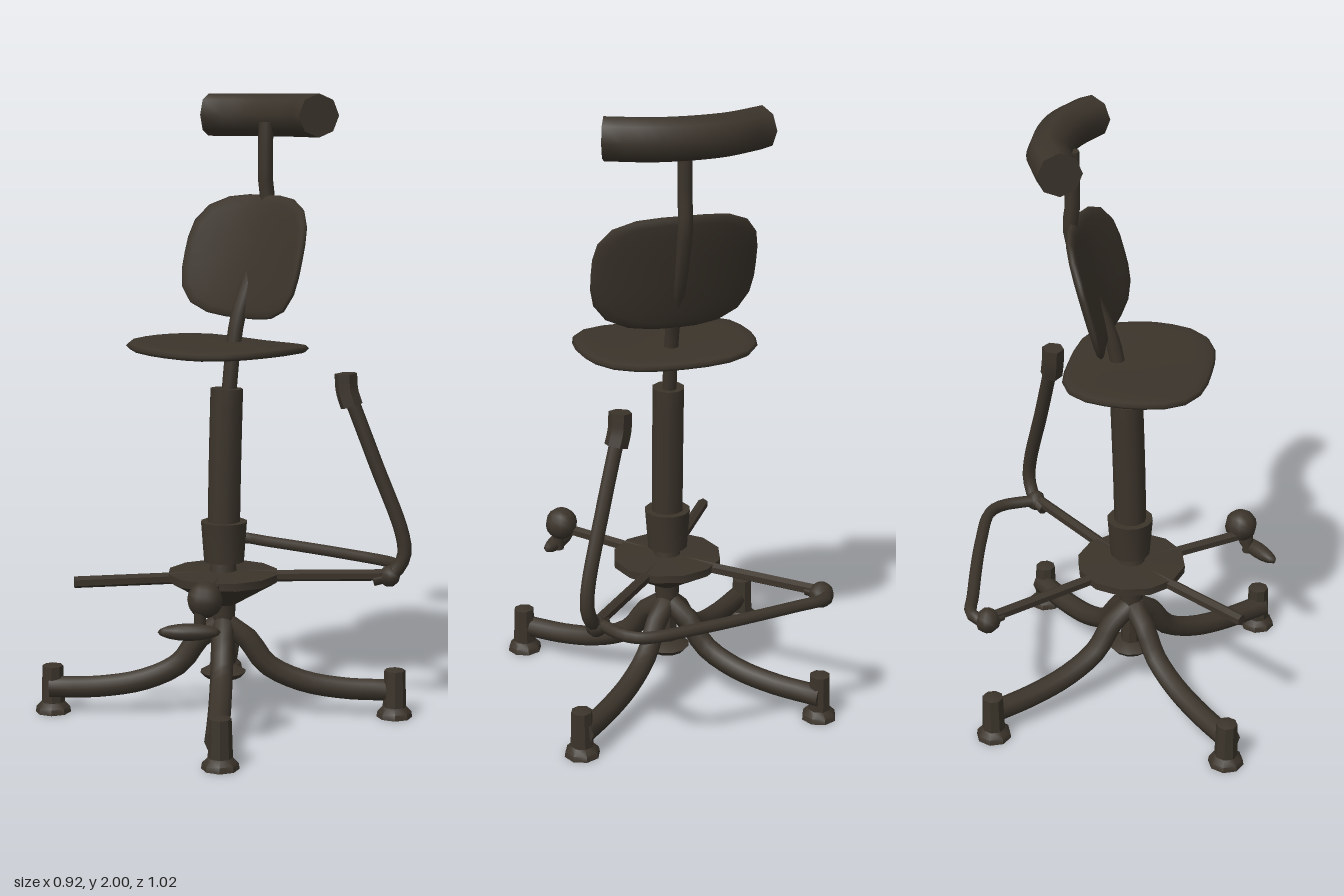
import * as THREE from 'three';
import { mergeVertices, toCreasedNormals } from 'three/addons/utils/BufferGeometryUtils.js';

const V = (x, y, z) => new THREE.Vector3(x, y, z);
const AXIS_Z = 0.045; // the pedestal sits slightly forward

export function createModel() {
  const model = new THREE.Group();
  model.name = 'workshopChair';
  const iron = new THREE.MeshStandardMaterial({ color: 0x3b342b });
  iron.name = 'dark iron';

  const add = (name, geometry, x = 0, y = 0, z = 0, parent = model) => {
    const mesh = new THREE.Mesh(geometry, iron);
    mesh.name = name;
    mesh.position.set(x, y, z);
    parent.add(mesh);
    return mesh;
  };

  // Tube along a curve, with its end rings folded in to make flat caps
  const rod = (points, radius, sides = 8, steps = 16) => {
    const curve = new THREE.CatmullRomCurve3(points.map((p) => V(...p)), false, 'centripetal');
    const geo = new THREE.TubeGeometry(curve, steps, radius, sides);
    const pos = geo.attributes.position;
    for (const [end, next, t] of [[0, 1, 0], [steps, steps - 1, 1]]) {
      const c = curve.getPointAt(t);
      for (let j = 0; j <= sides; j++) {
        const a = end * (sides + 1) + j, b = next * (sides + 1) + j;
        pos.setXYZ(b, pos.getX(a), pos.getY(a), pos.getZ(a));
        pos.setXYZ(a, c.x, c.y, c.z);
      }
    }
    geo.deleteAttribute('uv');
    return toCreasedNormals(geo, 0.9);
  };

  // Rounded-square cushion lying flat, made by reshaping a sphere
  const cushion = (halfX, halfT, halfZ) => {
    const geo = new THREE.SphereGeometry(1, 24, 12);
    const pos = geo.attributes.position;
    for (let i = 0; i < pos.count; i++) {
      const x = pos.getX(i), y = pos.getY(i), z = pos.getZ(i);
      const r = Math.hypot(x, z);
      const square = r < 1e-5 ? 1 : r / Math.pow(Math.abs(x) ** 3.2 + Math.abs(z) ** 3.2, 1 / 3.2);
      pos.setXYZ(i, x * square * halfX, Math.sign(y) * Math.sqrt(Math.abs(y)) * halfT, z * square * halfZ);
    }
    return geo;
  };

  // Move every vertex by a rule, then rebuild smooth normals
  const warp = (geo, rule) => {
    geo.deleteAttribute('uv');
    geo.deleteAttribute('normal');
    const merged = mergeVertices(geo, 1e-4);
    const pos = merged.attributes.position, p = V(0, 0, 0);
    for (let i = 0; i < pos.count; i++) {
      rule(p.fromBufferAttribute(pos, i));
      pos.setXYZ(i, p.x, p.y, p.z);
    }
    merged.computeVertexNormals();
    return merged;
  };

  const turned = (profile, sides = 12) =>
    toCreasedNormals(new THREE.LatheGeometry(profile.map((p) => new THREE.Vector2(...p)), sides), 0.6);

  // Seat, slightly dished, narrowing toward the back
  add('seat', warp(cushion(0.295, 0.02, 0.23), (p) => {
    p.x *= 1 - 0.06 * Math.abs(p.z / 0.23);
    p.y += 0.014 * (p.x / 0.295) ** 2 - 0.006;
  }), 0, 1.205, 0.07);

  // Backrest, leaning back with its sides wrapped forward
  add('backrest', warp(cushion(0.27, 0.02, 0.195).rotateX(Math.PI / 2), (p) => {
    p.z += -0.27 * p.y + 0.055 * (p.x / 0.27) ** 2;
  }), 0, 1.485, -0.09);

  // Curved headrest roll
  add('headrest', rod([[-0.25, 1.932, -0.125], [-0.1, 1.932, -0.19], [0.1, 1.932, -0.19],
    [0.25, 1.932, -0.13]], 0.068, 8));

  // Bent post that carries the seat, backrest and headrest
  add('backPost', rod([[0, 1.04, 0.02], [0, 1.2, 0.0], [0, 1.3, -0.022], [0, 1.48, -0.1],
    [0, 1.66, -0.15], [0, 1.72, -0.143], [0, 1.91, -0.143]], 0.024, 8, 24));

  // Column and collar
  add('column', rod([[0, 0.6, 0.042], [0, 0.84, 0.036], [0, 1.07, 0.028]], 0.053, 10));
  add('collar', turned([[0, 0.51], [0.066, 0.51], [0.076, 0.64], [0, 0.64]]), 0, 0, AXIS_Z - 0.005);

  // Dished plate, neck, stem and lower hub
  add('plate', turned([[0, 0.33], [0.04, 0.33], [0.042, 0.37], [0.18, 0.45], [0.18, 0.475],
    [0.045, 0.48], [0.038, 0.53], [0, 0.53]]), 0, 0, AXIS_Z);
  add('stem', turned([[0, 0.14], [0.035, 0.14], [0.03, 0.34], [0, 0.34]], 8), 0, 0, AXIS_Z);
  add('lowerHub', turned([[0, 0.128], [0.06, 0.128], [0.075, 0.145], [0.04, 0.165], [0, 0.165]]), 0, 0, AXIS_Z);

  // Four curved legs with posts and flat feet
  const names = { '1,1': 'frontLeft', '-1,1': 'frontRight', '1,-1': 'backLeft', '-1,-1': 'backRight' };
  for (const sx of [-1, 1]) for (const sz of [-1, 1]) {
    const leg = new THREE.Group();
    leg.name = names[`${sx},${sz}`] + 'Leg';
    leg.position.z = AXIS_Z;
    model.add(leg);
    const path = [[0.01, 0.3], [0.055, 0.255], [0.1, 0.17], [0.18, 0.115], [0.28, 0.09], [0.4, 0.085]];
    add('legTube', rod(path.map(([d, y]) => [sx * d, y, sz * d]), 0.036), 0, 0, 0, leg);
    add('foot', turned([[0, 0], [0.058, 0], [0.055, 0.018], [0.038, 0.035], [0.034, 0.155], [0, 0.165]], 8),
      sx * 0.402, 0, sz * 0.385, leg);
  }

  // Bars reaching out from the plate
  const bars = {
    frontRightBar: [-0.26, 0.45], frontLeftBar: [0.27, 0.4],
    backLeftBar: [0.36, -0.36], backRightBar: [-0.39, -0.34],
  };
  for (const [name, [x, z]] of Object.entries(bars)) {
    add(name, rod([[0, 0.46, AXIS_Z], [x / 2, 0.46, (z + AXIS_Z) / 2], [x, 0.46, z]], 0.019, 6, 6));
  }

  // Foot rail across the back
  add('footRail', rod([[-0.36, 0.455, -0.31], [-0.405, 0.455, -0.36], [-0.385, 0.46, -0.405],
    [-0.28, 0.46, -0.427], [0.05, 0.46, -0.482], [0.24, 0.46, -0.495], [0.29, 0.46, -0.465],
    [0.34, 0.46, -0.37]], 0.02, 8, 32));
  add('railJoint', new THREE.SphereGeometry(0.042, 8, 6), -0.395, 0.45, -0.35);

  // Hand lever with its grip
  add('lever', rod([[0.32, 0.445, -0.32], [0.36, 0.46, -0.365], [0.39, 0.52, -0.39], [0.388, 0.59, -0.385],
    [0.32, 0.83, -0.325], [0.25, 1.06, -0.27]], 0.023, 8, 24));
  add('leverElbow', new THREE.SphereGeometry(0.035, 8, 6), 0.355, 0.455, -0.36);
  add('leverGrip', rod([[0.262, 1.01, -0.275], [0.248, 1.06, -0.267], [0.245, 1.115, -0.264]], 0.037, 6, 8));

  // Pedal knob and blade
  add('pedalKnob', new THREE.SphereGeometry(0.055, 10, 8), 0.275, 0.485, 0.375);
  add('pedalStem', new THREE.CylinderGeometry(0.018, 0.018, 0.1, 8), 0.28, 0.43, 0.4);
  const blade = add('pedalBlade', new THREE.SphereGeometry(1, 12, 8), 0.27, 0.395, 0.435);
  blade.scale.set(0.095, 0.026, 0.028);
  blade.rotation.y = 0.82;

  return model;
}
